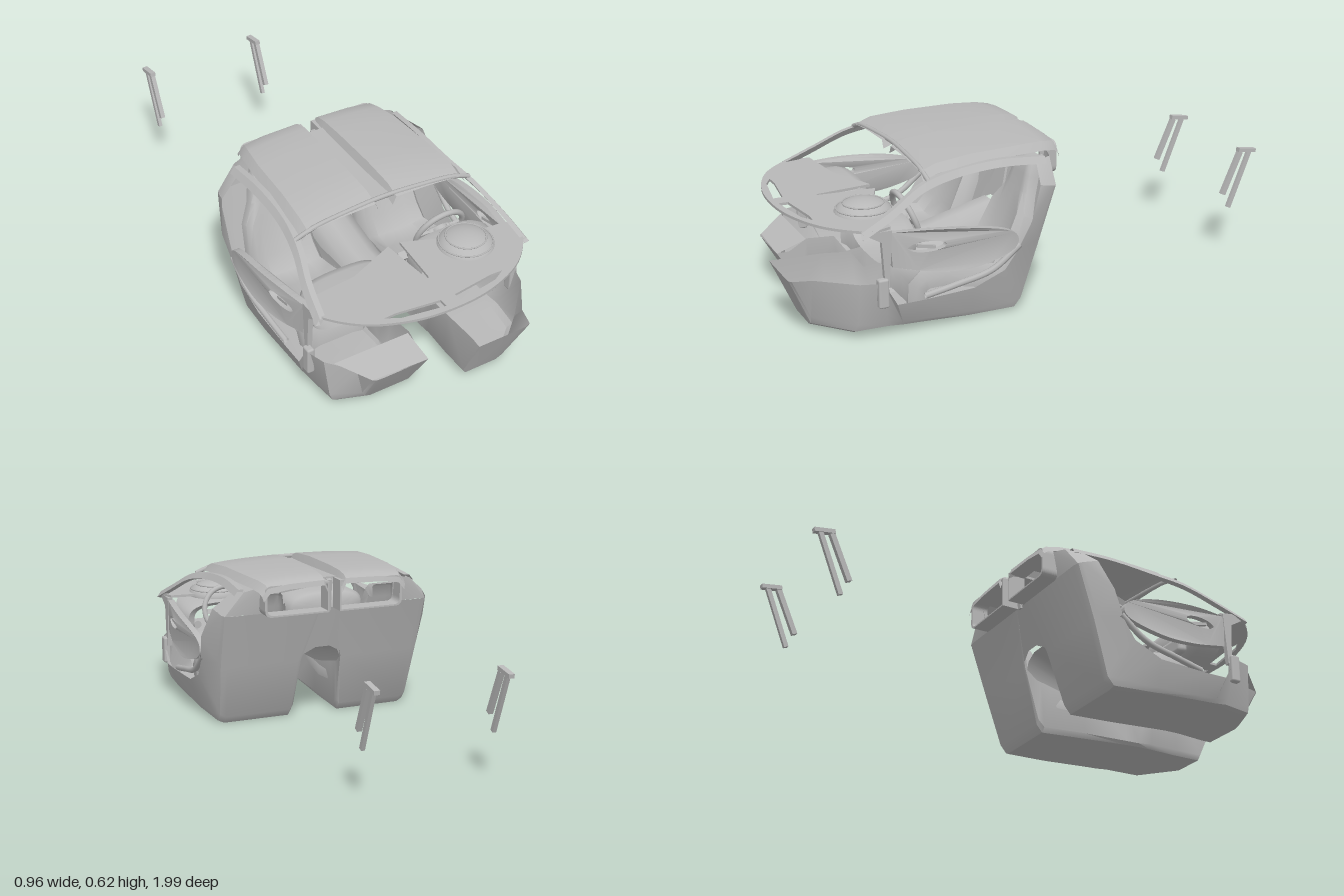
import * as THREE from 'three';
import { toCreasedNormals } from 'three/addons/utils/BufferGeometryUtils.js';
import { RoundedBoxGeometry } from 'three/addons/geometries/RoundedBoxGeometry.js';

const trim = new THREE.MeshStandardMaterial({ color: 0xb8b8b8, side: THREE.DoubleSide });
trim.name = 'greyTrim';

function add(parent, name, geo, x = 0, y = 0, z = 0) {
  const m = new THREE.Mesh(geo, trim);
  m.name = name;
  m.position.set(x, y, z);
  parent.add(m);
  return m;
}

// Skin through rows of [x, y, z] points
function loft(rows, crease = 0.6) {
  const n = rows[0].length, index = [];
  for (let r = 0; r < rows.length - 1; r++) {
    for (let i = 0; i < n - 1; i++) {
      const a = r * n + i, b = a + n;
      index.push(a, b, a + 1, a + 1, b, b + 1);
    }
  }
  const g = new THREE.BufferGeometry();
  g.setAttribute('position', new THREE.Float32BufferAttribute(rows.flat(2), 3));
  g.setIndex(index);
  return toCreasedNormals(g, crease);
}

const v3 = p => new THREE.Vector3(...p);
const v2 = p => new THREE.Vector2(...p);
const curve = pts => new THREE.CatmullRomCurve3(pts.map(v3));

// Straight bar between two points
function bar(parent, name, a, b, w, d) {
  const p = v3(a), q = v3(b);
  const m = add(parent, name, new THREE.BoxGeometry(w, p.distanceTo(q), d));
  m.position.copy(p).add(q).multiplyScalar(0.5);
  m.quaternion.setFromUnitVectors(new THREE.Vector3(0, 1, 0), q.sub(p).normalize());
}

// Plate drawn in (z, y) and given thickness along x
function sidePlate(shape, depth, x) {
  const g = new THREE.ExtrudeGeometry(shape, { depth, bevelEnabled: false, curveSegments: 16 });
  return g.rotateY(-Math.PI / 2).translate(x, 0, 0);
}

// Rounded oval ring for the dashboard pods; hood pushes its top edge forward
function ovalRow(z, s, hood = 0) {
  const row = [];
  for (let i = 0; i <= 40; i++) {
    const t = i / 40 * Math.PI * 2, c = Math.cos(t), q = Math.sin(t);
    row.push([0.23 + 0.18 * s * Math.sign(c) * Math.abs(c) ** 0.7,
      0.325 + 0.082 * s * Math.sign(q) * Math.abs(q) ** 0.7, z + hood * Math.max(0, q) ** 2]);
  }
  return row;
}

function buildTub(g, driver) {
  const f = driver ? 0 : -0.08, top = driver ? 0.225 : 0.18, fx = driver ? 0.27 : 0.3;
  // inner x, outer x, rim x, floor z y, inner rim z y, outer rim z y
  const stations = [
    [0.08, 0.3, 0.31, 1.0 + f, top, 1.0 + f, top, 0.99 + f, top],
    [0.085, fx, 0.33, 0.91 + f, 0.02, 0.95 + f, top, 0.92 + f, top],
    [0.085, 0.41, 0.43, 0.79, 0.02, 0.8, 0.22, 0.78, 0.22],
    [0.09, 0.425, 0.455, 0.67, 0.025, 0.69, 0.21, 0.7, 0.22],
    [0.09, 0.425, 0.455, 0.61, 0.025, 0.64, 0.14, 0.65, 0.13],
    [0.09, 0.425, 0.455, 0.55, 0.022, 0.56, 0.15, 0.56, 0.13],
    [0.09, 0.425, 0.455, 0.35, 0.01, 0.35, 0.2, 0.35, 0.14],
    [0.095, 0.415, 0.46, 0.16, 0, 0.2, 0.2, 0.23, 0.19],
    [0.095, 0.415, 0.465, 0.135, 0.03, 0.15, 0.21, 0.18, 0.26],
    [0.085, 0.43, 0.48, 0.07, 0.25, 0.08, 0.26, 0.13, 0.37],
    [0.03, 0.435, 0.448, 0, 0.47, 0.01, 0.47, 0.08, 0.49],
  ];
  const mix = (a, b, t) => a + (b - a) * t;
  add(g, 'tub', loft(stations.map(([xi, xo, xr, z, y, iz, iy, oz, oy]) => [
    [xi, iy, iz], [xi, mix(y, iy, 0.1), mix(z, iz, 0.1)], [xi + 0.012, y, z],
    [xo - 0.035, y, z], [xo - 0.01, mix(y, oy, 0.06), mix(z, oz, 0.08)],
    [xo, mix(y, oy, 0.2), mix(z, oz, 0.25)], [xr, oy, oz],
  ])));
  add(g, 'rearPillar', loft([
    [[0.275, 0.47, 0], [0.425, 0.47, 0.005], [0.448, 0.49, 0.08]],
    [[0.275, 0.58, -0.02], [0.35, 0.562, -0.005], [0.37, 0.555, 0.06]],
  ]));
  add(g, 'kickPanel', new RoundedBoxGeometry(0.03, 0.11, 0.04, 2, 0.008), 0.444, 0.18, 0.7);
  if (!driver) {
    add(g, 'footwellLid', loft([[[0.08, 0.18, 0.92], [0.31, 0.18, 0.91]], [[0.09, 0.215, 0.8], [0.4, 0.215, 0.8]]]));
  }
}

function buildSeat(g) {
  // z, y, half width, bolster height
  const path = [
    [0.56, 0.07, 0.13, 0.01], [0.55, 0.15, 0.14, 0.02], [0.51, 0.185, 0.145, 0.025], [0.43, 0.19, 0.15, 0.03],
    [0.3, 0.16, 0.15, 0.03], [0.22, 0.16, 0.145, 0.025], [0.17, 0.22, 0.14, 0.02], [0.115, 0.35, 0.125, 0.012],
    [0.085, 0.42, 0.085, 0], [0.065, 0.48, 0.07, 0], [0.05, 0.525, 0.062, 0], [0.035, 0.542, 0.055, 0], [0.0, 0.545, 0.05, 0],
  ];
  add(g, 'seat', loft(path.map(([z, y, w, h], i) => {
    const a = path[Math.max(i - 1, 0)], b = path[Math.min(i + 1, path.length - 1)];
    const l = Math.hypot(a[0] - b[0], a[1] - b[1]);
    const nz = (b[1] - a[1]) / l, ny = (a[0] - b[0]) / l;
    return [[-1, -0.05], [-1, -0.01], [-0.85, h], [-0.55, 0], [0, 0],
      [0.55, 0], [0.85, h], [1, -0.01], [1, -0.05]].map(([u, d]) =>
      [0.24 + u * w, y + ny * d, z + nz * d]);
  }), 0.9));
}

function buildRoof(g) {
  const stations = [[0.5, -0.035, 0.01], [0.44, -0.012, 0.01], [0.3, 0, 0], [0.1, 0.003, -0.01],
    [0, 0, -0.025], [-0.05, -0.008, -0.035], [-0.068, -0.02, -0.04], [-0.075, -0.04, -0.045]];
  add(g, 'roofPanel', loft(stations.map(([z, y, dx]) => [
    [0.03, 0.585 + y, z], [0.045, 0.617 + y, z], [0.19, 0.613 + y, z],
    [0.315 + dx, 0.602 + y, z], [0.34 + dx, 0.572 + y, z],
  ])));
  // Frame round the rear window
  const outline = (Kind, x0, x1, y0, y1, r) => {
    const p = new Kind();
    p.moveTo(x0, y0).lineTo(x1 - r, y0).quadraticCurveTo(x1, y0, x1, y0 + r);
    p.lineTo(x1, y1 - r).quadraticCurveTo(x1, y1, x1 - r, y1).lineTo(x0, y1);
    return p.closePath();
  };
  const s = outline(THREE.Shape, 0.022, 0.288, 0.468, 0.59, 0.03);
  s.holes.push(outline(THREE.Path, 0.028, 0.278, 0.474, 0.582, 0.026));
  add(g, 'rearWindowFrame', new THREE.ExtrudeGeometry(s, { depth: 0.07, bevelEnabled: false }), 0, 0, -0.068);
  // Windscreen pillar running into the roof rail
  const rail = curve([[0.438, 0.405, 0.77], [0.418, 0.46, 0.65], [0.382, 0.525, 0.52],
    [0.358, 0.553, 0.38], [0.354, 0.566, 0.2], [0.36, 0.556, 0.02]]);
  add(g, 'roofRail', loft(rail.getPoints(24).map(({ x, y, z }) =>
    [[-0.02, 0.012], [0.002, 0.012], [0.02, -0.012], [0, -0.016], [-0.02, 0.012]].map(([dx, dy]) => [x + dx, y + dy, z]))));
}

function buildDoor(g) {
  const s = new THREE.Shape();
  s.moveTo(0.67, 0.4);
  s.splineThru([[0.5, 0.395], [0.3, 0.37], [0.19, 0.33], [0.2, 0.27], [0.35, 0.23], [0.5, 0.235], [0.66, 0.27]].map(v2));
  const hole = new THREE.Path();
  hole.absellipse(0.535, 0.335, 0.07, 0.02, 0, Math.PI * 2);
  s.holes.push(hole);
  const geo = sidePlate(s, 0.025, 0);
  const p = geo.attributes.position;
  for (let i = 0; i < p.count; i++) {
    p.setX(i, p.getX(i) + 0.44 + 0.037 * (1 - ((p.getZ(i) - 0.33) / 0.34) ** 2));
  }
  add(g, 'doorCard', toCreasedNormals(geo, 0.6));
  bar(g, 'doorHandle', [0.45, 0.325, 0.5], [0.45, 0.34, 0.57], 0.012, 0.012);
  const arm = curve([[0.445, 0.14, 0.54], [0.452, 0.165, 0.42], [0.458, 0.2, 0.28], [0.46, 0.28, 0.17]]);
  add(g, 'doorArm', new THREE.TubeGeometry(arm, 32, 0.012, 8));
  const cheek = new THREE.Shape([[0.77, 0.412], [0.7, 0.37], [0.69, 0.2], [0.675, 0.2], [0.66, 0.41]].map(v2));
  add(g, 'doorPost', sidePlate(cheek, 0.02, 0.445));
}

function buildDash(g, driver) {
  const rows = [ovalRow(0.67, 1, 0.16), ovalRow(0.58, 1), ovalRow(0.55, 0.9)];
  if (driver) rows.push(ovalRow(0.57, 0.72));
  else rows.push(ovalRow(0.535, 0.6), ovalRow(0.53, 0.001));
  add(g, 'dashPod', loft(rows, 0.9));
  for (const x of [0.075, 0.39]) {
    add(g, 'airVent', new THREE.CapsuleGeometry(0.012, 0.04, 4, 10), x, 0.325, 0.57);
  }
  if (!driver) {
    add(g, 'gloveBox', new RoundedBoxGeometry(0.25, 0.07, 0.04, 3, 0.018), 0.245, 0.28, 0.52);
    return;
  }
  add(g, 'roundVent', new THREE.CylinderGeometry(0.016, 0.016, 0.03, 16).rotateX(Math.PI / 2), 0.35, 0.31, 0.57);
  add(g, 'instrumentHood', new THREE.SphereGeometry(0.11, 28, 12, 0, Math.PI * 2, 0, Math.PI / 2).scale(1, 0.55, 1), 0.23, 0.405, 0.685);
  for (const [r, y] of [[0.1, 0.433], [0.075, 0.451]]) {
    add(g, 'hoodRib', new THREE.TorusGeometry(r, 0.003, 6, 32).rotateX(Math.PI / 2), 0.23, y, 0.685);
  }
  // Steering wheel with hub and spokes
  const wheel = new THREE.Group();
  wheel.name = 'steeringWheel';
  wheel.position.set(0.23, 0.37, 0.52);
  wheel.rotation.x = 0.35;
  add(wheel, 'wheelRim', new THREE.TorusGeometry(0.1, 0.011, 10, 40));
  add(wheel, 'wheelHub', new RoundedBoxGeometry(0.1, 0.08, 0.03, 3, 0.014), 0, -0.025, 0);
  for (const a of [0, Math.PI, -Math.PI / 2]) {
    bar(wheel, 'wheelSpoke', [0, 0, 0], [Math.cos(a) * 0.1, Math.sin(a) * 0.1, 0], 0.02, 0.01);
  }
  add(wheel, 'steeringColumn', new THREE.CylinderGeometry(0.03, 0.035, 0.13, 16).rotateX(Math.PI / 2), 0, 0, 0.065);
  g.add(wheel);
}

// Detached pair of slanted struts behind the cabin
function buildStrut(g) {
  bar(g, 'frontStrut', [0.253, 0.42, -0.92], [0.253, 0.25, -0.845], 0.018, 0.02);
  bar(g, 'rearStrut', [0.253, 0.42, -0.965], [0.253, 0.19, -0.875], 0.014, 0.018);
  bar(g, 'strutCap', [0.253, 0.43, -0.91], [0.253, 0.418, -0.99], 0.022, 0.016);
}

function buildCentre(g) {
  // Cowl under the windscreen, with two slits and a centre slot
  const cowl = new THREE.Shape();
  cowl.moveTo(-0.43, 0.66);
  cowl.splineThru([[-0.44, 0.75], [-0.33, 0.87], [-0.17, 0.94], [0, 0.96], [0.17, 0.94], [0.33, 0.87], [0.44, 0.75], [0.43, 0.66]].map(v2));
  for (const p of [[0.22, 0.64], [0.025, 0.56], [0.005, 0.78], [-0.005, 0.78], [-0.025, 0.56], [-0.22, 0.64]]) cowl.lineTo(...p);
  for (const s of [1, -1]) {
    cowl.holes.push(new THREE.Path([[0.03, 0.938], [0.2, 0.91], [0.25, 0.882], [0.2, 0.88], [0.03, 0.902]].map(([x, z]) => v2([x * s, z]))));
  }
  add(g, 'cowl', new THREE.ExtrudeGeometry(cowl, { depth: 0.01, bevelEnabled: false, curveSegments: 10 }).rotateX(Math.PI / 2), 0, 0.42, 0);
  // Tunnel between the tubs, rising towards the rear wall
  add(g, 'tunnel', loft([[0.55, 0], [0.35, 0.01], [0.08, 0.075]].map(([z, h]) => [[-0.092, 0.15 + h, z], [-0.075, 0.2 + h, z],
    [-0.03, 0.225 + h, z], [0.03, 0.225 + h, z], [0.075, 0.2 + h, z], [0.092, 0.15 + h, z]]), 0.9));
  add(g, 'rearWallCentre', loft([[[-0.085, 0.27, 0.065], [-0.03, 0.3, 0.055], [0.03, 0.3, 0.055], [0.085, 0.27, 0.065]],
    [[-0.06, 0.47, 0.001], [-0.03, 0.47, 0.001], [0.03, 0.47, 0.001], [0.06, 0.47, 0.001]]]));
  bar(g, 'rearCentrePillar', [0, 0.46, 0.005], [0, 0.585, -0.01], 0.02, 0.02);
  bar(g, 'roofSpine', [0, 0.575, 0.47], [0, 0.588, 0], 0.07, 0.01);
  const header = curve([[-0.375, 0.545, 0.49], [-0.3, 0.57, 0.49], [-0.15, 0.583, 0.485], [0, 0.587, 0.48],
    [0.15, 0.583, 0.485], [0.3, 0.57, 0.49], [0.375, 0.545, 0.49]]);
  add(g, 'windscreenHeader', new THREE.TubeGeometry(header, 32, 0.009, 8));
  bar(g, 'consoleSpine', [0, 0.22, 0.5], [0, 0.41, 0.62], 0.03, 0.03);
  add(g, 'leverBase', new THREE.SphereGeometry(0.018, 16, 10), 0, 0.235, 0.51);
}

export function createModel() {
  const model = new THREE.Group();
  model.name = 'carCabin';
  for (const side of [1, -1]) {
    const half = new THREE.Group();
    half.name = side > 0 ? 'leftHalf' : 'rightHalf';
    half.scale.x = side;
    buildTub(half, side > 0);
    buildSeat(half);
    buildRoof(half);
    buildDoor(half);
    buildDash(half, side > 0);
    buildStrut(half);
    model.add(half);
  }
  buildCentre(model);
  return model;
}
